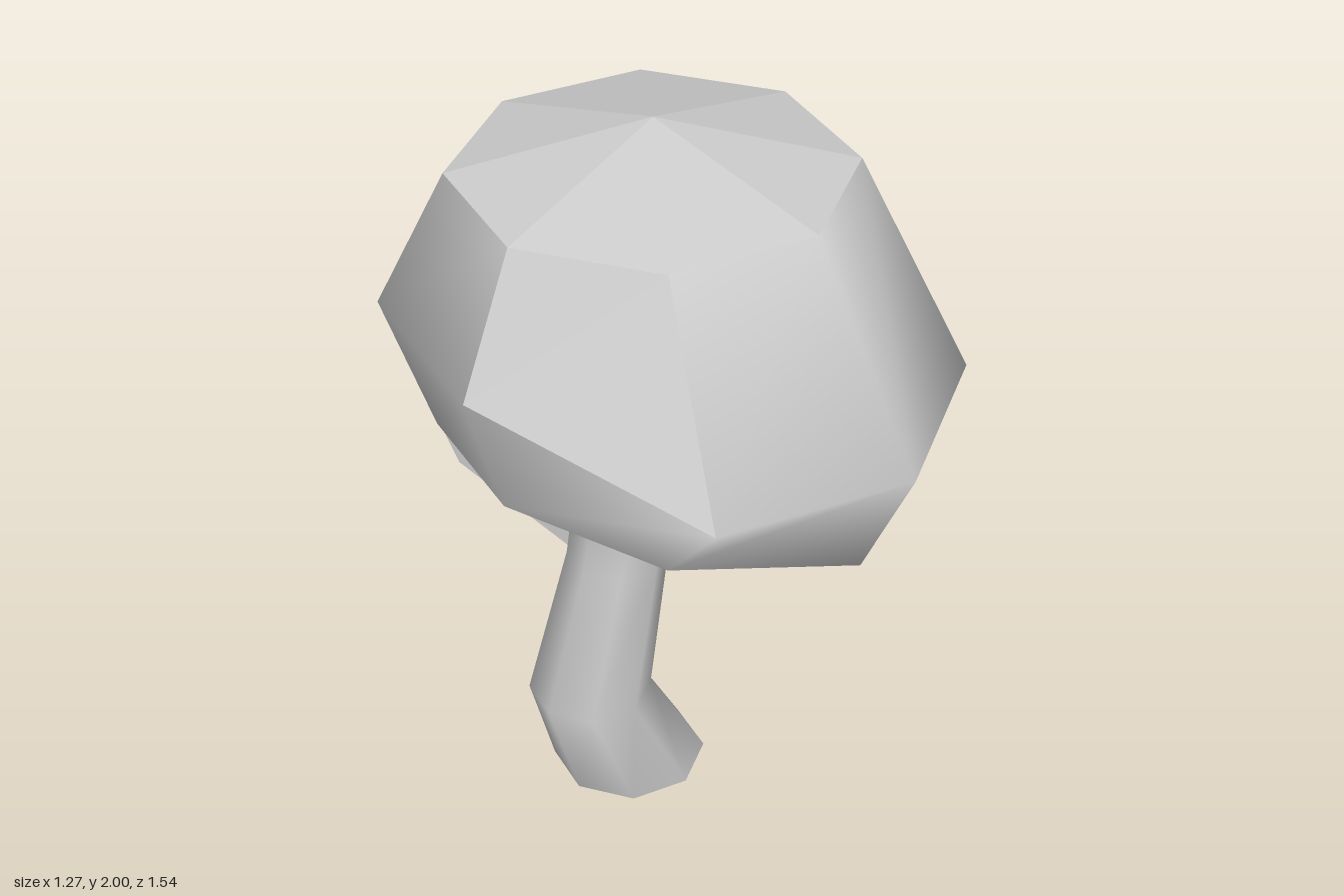
import * as THREE from 'three';

const V = (x, y, z) => new THREE.Vector3(x, y, z);

// Skin a stack of rings (counter-clockwise about the growing direction).
// skip(ring, side) leaves a panel out.
function skin(rings, skip = () => false) {
  const n = rings[0].length, idx = [];
  for (let r = 0; r < rings.length - 1; r++) {
    for (let i = 0; i < n; i++) {
      if (skip(r, i)) continue;
      const a = r * n + i, b = r * n + (i + 1) % n;
      idx.push(a, b, b + n, a, b + n, a + n);
    }
  }
  const g = new THREE.BufferGeometry().setFromPoints(rings.flat());
  g.setIndex(idx);
  g.computeVertexNormals();
  return g;
}

function flat(g) {
  const f = g.index ? g.toNonIndexed() : g;
  f.computeVertexNormals();
  return f;
}

// Shallow faceted cone closing a ring
function cap(ring, tip, up) {
  const pts = [];
  ring.forEach((p, i) => {
    const q = ring[(i + 1) % ring.length];
    pts.push(...(up ? [p, q, tip] : [q, p, tip]));
  });
  return flat(new THREE.BufferGeometry().setFromPoints(pts));
}

function circle(x, y, z, r) {
  return Array.from({ length: 8 }, (_, i) => {
    const a = i * Math.PI / 4;
    return V(x + r * Math.cos(a), y, z - r * Math.sin(a));
  });
}

export function createModel() {
  const tree = new THREE.Group();
  tree.name = 'tree';
  const grey = new THREE.MeshStandardMaterial({ color: 0xcccccc });
  grey.name = 'light grey';
  const add = (name, g, parent = tree) => {
    const m = new THREE.Mesh(g, grey);
    m.name = name;
    parent.add(m);
  };

  // Crooked trunk
  const trunkRings = [
    [0.025, 0, -0.205, 0.205], [-0.135, 0.345, -0.195, 0.16],
    [0.02, 0.68, -0.23, 0.133], [-0.04, 0.96, -0.132, 0.137],
    [-0.01, 1.25, -0.19, 0.11],
  ].map(a => circle(...a));
  add('trunk', skin(trunkRings));
  add('trunkBase', cap(trunkRings[0], V(0.025, 0, -0.205), false));

  // Crown: bottom, widest and top rings
  const bottom = [
    V(0.48, 1.19, -0.08), V(0.35, 1.19, -0.5), V(0, 1.18, -0.65), V(-0.39, 1.2, -0.44),
    V(-0.53, 1.205, -0.08), V(-0.46, 1.2, 0.36), V(-0.08, 1.12, 0.615), V(0.3, 1.14, 0.42),
  ];
  const middle = [
    V(0.635, 1.545, -0.09), V(0.475, 1.54, -0.595), V(0.01, 1.54, -0.755), V(-0.46, 1.54, -0.54),
    V(-0.64, 1.545, -0.08), V(-0.51, 1.41, 0.54), V(-0.1, 1.44, 0.765), V(0.35, 1.44, 0.58),
  ];
  const top = circle(0, 1.875, -0.08, 0.48);
  const crown = new THREE.Group();
  crown.name = 'crown';
  tree.add(crown);
  add('crownSides', skin([bottom, middle, top], (r, i) => r === 1 && i === 4), crown);
  add('crownFlatPanel', flat(skin([middle, top], (r, i) => i !== 4)), crown);
  add('crownTop', cap(top, V(0, 2, -0.08), true), crown);
  add('crownUnderside', cap(bottom, V(-0.03, 1.045, 0.06), false), crown);

  // Square branches: path points with half width across and half height
  const branch = (name, path) => {
    const pts = path.map(p => V(p[0], p[1], p[2]));
    const rings = pts.map((p, k) => {
      const d = pts[Math.min(k + 1, pts.length - 1)].clone().sub(pts[Math.max(k - 1, 0)]).normalize();
      const s = d.clone().cross(V(0, 1, 0)).normalize();
      const u = s.clone().cross(d);
      return [[-1, 1], [1, 1], [1, -1], [-1, -1]].map(([a, b]) =>
        p.clone().addScaledVector(s, a * path[k][3]).addScaledVector(u, b * path[k][4]));
    });
    const group = new THREE.Group();
    group.name = name;
    tree.add(group);
    add(name + 'Limb', flat(skin(rings)), group);
    add(name + 'Tip', cap(rings.at(-1), pts.at(-1), true), group);
  };
  branch('leftBranch', [[0.06, 0.69, -0.21, 0.04, 0.037], [0.3, 0.773, -0.09, 0.038, 0.022]]);
  branch('backBranch', [
    [0.01, 0.69, -0.28, 0.045, 0.042], [-0.08, 0.862, -0.648, 0.04, 0.03], [-0.1, 1.047, -0.743, 0.036, 0.026],
  ]);
  branch('frontBranch', [
    [-0.075, 0.9, -0.05, 0.05, 0.035], [-0.08, 1.06, 0.33, 0.04, 0.028], [-0.08, 1.2, 0.44, 0.035, 0.025],
  ]);
  return tree;
}
